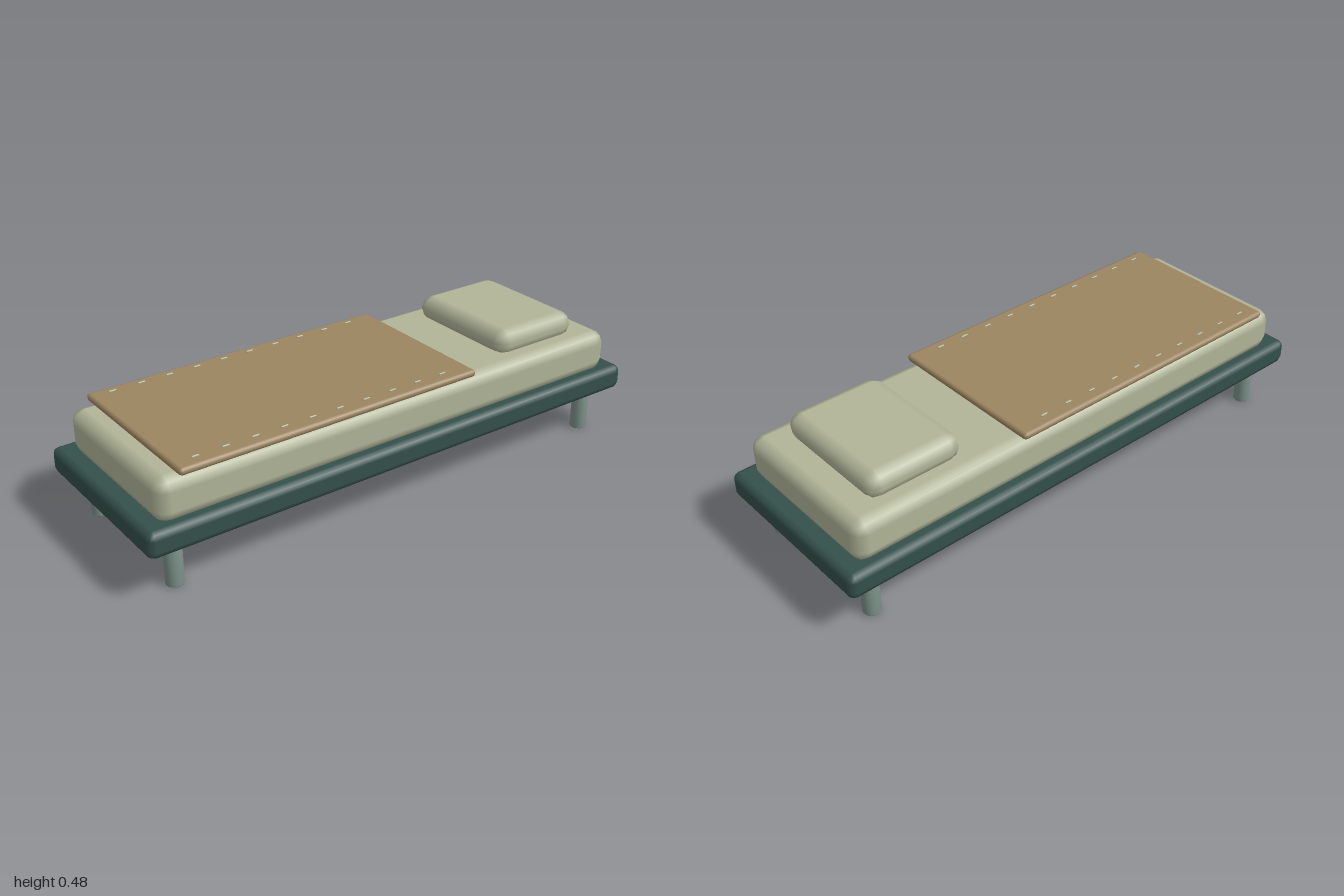
import * as THREE from 'three';
import { RoundedBoxGeometry } from 'three/addons/geometries/RoundedBoxGeometry.js';

const paint = (color) => new THREE.MeshStandardMaterial({ color });
const frameGreen = paint(0x34504b);
const legGreen = paint(0x7a9087);
const linen = paint(0xb1b598);
const wool = paint(0x9c8560);
const thread = paint(0xb1b598);

export function createModel() {
  const model = new THREE.Group();

  function add(name, geometry, material, x, y, z, parent = model) {
    const mesh = new THREE.Mesh(geometry, material);
    mesh.name = name;
    mesh.position.set(x, y, z);
    parent.add(mesh);
    return mesh;
  }

  // Softly bevelled slab, given by its bottom and top heights
  function slab(name, material, x, width, bottom, top, depth, radius) {
    const geometry = new RoundedBoxGeometry(width, top - bottom, depth, 1, radius);
    add(name, geometry, material, x, (bottom + top) / 2, 0);
  }

  slab('bedFrame', frameGreen, 0, 2, 0.162, 0.255, 0.686, 0.025);
  slab('mattress', linen, 0, 1.885, 0.238, 0.397, 0.616, 0.046);
  slab('pillow', linen, 0.655, 0.362, 0.375, 0.477, 0.475, 0.047);
  slab('blanket', wool, -0.289, 1.156, 0.398, 0.424, 0.63, 0.012);

  // Four round legs, with a small bevel at the foot
  const legProfile = [[0, 0], [0.029, 0], [0.031, 0.003], [0.031, 0.18], [0, 0.18]]
    .map(([r, y]) => new THREE.Vector2(r, y));
  const legGeometry = new THREE.LatheGeometry(legProfile, 20);
  for (const x of [-0.882, 0.882]) {
    for (const z of [-0.257, 0.257]) {
      add('leg', legGeometry, legGreen, x, 0, z);
    }
  }

  // Row of raised stitches along each long edge of the blanket
  const stitches = new THREE.Group();
  stitches.name = 'blanketStitches';
  model.add(stitches);
  const stitchGeometry = new THREE.CapsuleGeometry(0.0035, 0.021, 3, 8).rotateZ(Math.PI / 2);
  const baseGeometry = new THREE.BoxGeometry(0.022, 0.008, 0.004);
  for (const z of [-0.272, 0.272]) {
    for (let i = 0; i < 10; i++) {
      const x = -0.79 + i * 0.1067;
      add('stitch', stitchGeometry, thread, x, 0.4275, z, stitches);
      add('stitchBase', baseGeometry, thread, x, 0.423, z, stitches);
    }
  }

  return model;
}
